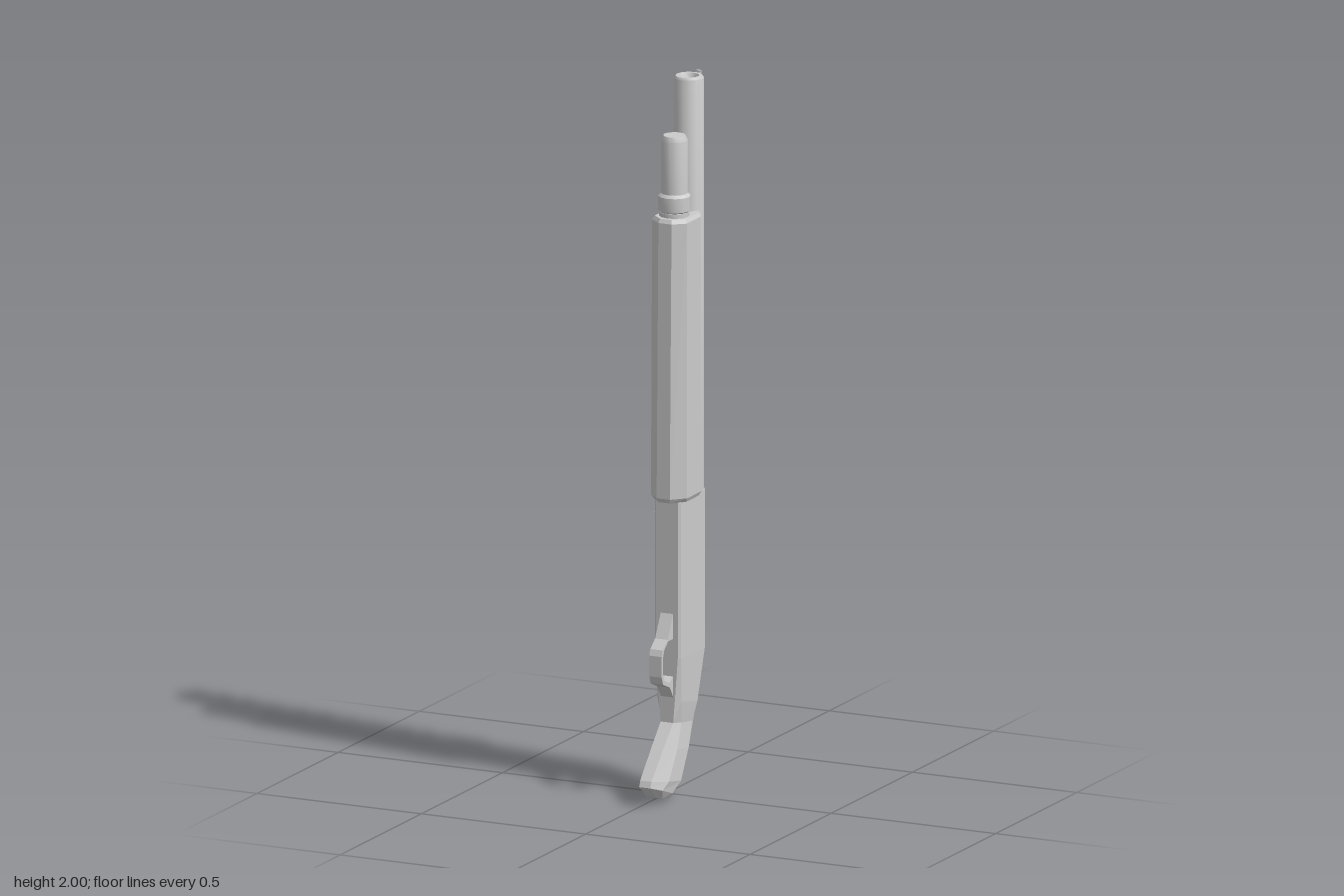
import * as THREE from 'three';
import { toCreasedNormals } from 'three/addons/utils/BufferGeometryUtils.js';

const CX = 0.015; // centre plane of the body
const flat = new THREE.MeshStandardMaterial({ color: 0xcccccc, flatShading: true });
const smooth = new THREE.MeshStandardMaterial({ color: 0xcccccc });

function add(group, name, geometry, material = flat) {
  const mesh = new THREE.Mesh(geometry, material);
  mesh.name = name;
  group.add(mesh);
  return mesh;
}

// Skin over equal rings of [x, y, z], listed bottom to top, closed at both ends
function loft(rings) {
  const n = rings[0].length, last = (rings.length - 1) * n, index = [];
  for (let i = 0; i < last; i += n) {
    for (let j = 0; j < n; j++) {
      const a = i + j, b = i + (j + 1) % n;
      index.push(a, b, b + n, a, b + n, a + n);
    }
  }
  for (let j = 1; j < n - 1; j++) {
    index.push(0, j + 1, j, last, last + j, last + j + 1);
  }
  const g = new THREE.BufferGeometry();
  g.setAttribute('position', new THREE.Float32BufferAttribute(rings.flat(2), 3));
  g.setIndex(index);
  return toCreasedNormals(g, 0.1);
}

// Eight-sided ring between a front and a back point (z, y), mirrored in x
function ring([fz, fy], [bz, by], wf, w, wb, t1, t2) {
  const half = [[wf, 0], [w, t1], [w, t2], [wb, 1]];
  const at = (x, t) => [CX + x, fy + (by - fy) * t, fz + (bz - fz) * t];
  return [...half.map(([x, t]) => at(x, t)), ...half.slice().reverse().map(([x, t]) => at(-x, t))];
}

// Twelve-sided turned part around a vertical axis at depth z
function turned(group, name, z, profile) {
  const g = new THREE.LatheGeometry(profile.map(([r, y]) => new THREE.Vector2(r, y)), 12);
  add(group, name, toCreasedNormals(g, 0.6), smooth).position.set(CX, 0, z);
}

// Plate cut from a 2D outline, centred on its thickness
function plate(shape, depth) {
  return new THREE.ExtrudeGeometry(shape, { depth, bevelEnabled: false }).translate(0, 0, -depth / 2);
}
const outline = (pts) => pts.map(([x, y]) => new THREE.Vector2(x, y));

export function createModel() {
  const model = new THREE.Group();
  model.name = 'model';

  // Body running down into the curved grip
  add(model, 'receiverAndGrip', loft([
    ring([0.125, 0.018], [0.05, 0.0], 0.014, 0.022, 0.014, 0.3, 0.75),
    ring([0.167, 0.055], [0.03, 0.008], 0.017, 0.034, 0.018, 0.3, 0.75),
    ring([0.16, 0.072], [-0.015, 0.04], 0.017, 0.04, 0.02, 0.35, 0.78),
    ring([0.095, 0.142], [-0.063, 0.125], 0.018, 0.036, 0.02, 0.35, 0.8),
    ring([0.03, 0.208], [-0.092, 0.19], 0.019, 0.029, 0.02, 0.25, 0.8),
    ring([0.03, 0.27], [-0.11, 0.24], 0.024, 0.036, 0.02, 0.12, 0.82),
    ring([0.03, 0.39], [-0.148, 0.39], 0.033, 0.04, 0.022, 0.04, 0.86),
    ring([0.03, 0.835], [-0.148, 0.835], 0.033, 0.04, 0.022, 0.04, 0.86),
  ]));

  // Sliding grip around the lower tube, bevelled at both ends
  add(model, 'slideGrip', loft([
    ring([0.047, 0.83], [-0.095, 0.83], 0.017, 0.049, 0.036, 0.25, 0.82),
    ring([0.053, 0.842], [-0.098, 0.842], 0.02, 0.055, 0.04, 0.24, 0.82),
    ring([0.042, 1.615], [-0.098, 1.615], 0.02, 0.053, 0.04, 0.2, 0.82),
    ring([0.036, 1.626], [-0.094, 1.626], 0.017, 0.047, 0.036, 0.2, 0.82),
  ]));

  // Hollow upper tube and capped lower tube
  turned(model, 'upperTube', -0.106, [
    [0.041, 0.82], [0.041, 1.994], [0.037, 2], [0.028, 2], [0.021, 1.985], [0.021, 1.85], [0, 1.85],
  ]);
  turned(model, 'lowerTube', -0.016, [
    [0.037, 1.6], [0.037, 1.838], [0.031, 1.852], [0, 1.852],
  ]);
  turned(model, 'collar', -0.016, [
    [0.037, 1.635], [0.045, 1.642], [0.045, 1.682], [0.037, 1.69],
  ]);
  turned(model, 'collarBase', -0.016, [[0.042, 1.62], [0.042, 1.638], [0.037, 1.642]]);

  // Raised rib: thin strip on evenly spaced posts with a solid ramp
  const rib = new THREE.Group();
  rib.name = 'rib';
  model.add(rib);
  add(rib, 'ribStrip', new THREE.BoxGeometry(0.013, 1.05, 0.007)).position.set(CX, 1.475, -0.1665);
  for (let i = 0; i < 11; i++) {
    add(rib, 'ribPost', new THREE.BoxGeometry(0.015, 0.012, 0.022))
      .position.set(CX, 0.962 + i * 0.1026, -0.155);
  }
  const ramp = new THREE.Shape(outline([
    [0.14, 0.83], [0.149, 0.83], [0.17, 0.872], [0.17, 0.96], [0.14, 0.96],
  ]));
  const rampMesh = add(rib, 'ribRamp', plate(ramp, 0.016));
  rampMesh.rotation.y = Math.PI / 2;
  rampMesh.position.x = CX;

  // Loop guard below the body (outline x is depth, turned to face the side)
  const guard = new THREE.Shape(outline([
    [-0.02, 0.52], [-0.03, 0.515], [-0.064, 0.45], [-0.094, 0.427], [-0.101, 0.41],
    [-0.101, 0.352], [-0.092, 0.33], [-0.05, 0.312], [-0.03, 0.28], [-0.02, 0.28],
  ]));
  guard.holes.push(new THREE.Path(outline([
    [-0.028, 0.445], [-0.06, 0.445], [-0.085, 0.425], [-0.092, 0.405],
    [-0.092, 0.36], [-0.082, 0.339], [-0.055, 0.326], [-0.028, 0.34],
  ])));
  const guardMesh = add(model, 'loopGuard', plate(guard, 0.038));
  guardMesh.rotation.y = Math.PI / 2;
  guardMesh.position.x = CX;

  // Small hooked handle on the side
  const handle = new THREE.Shape(outline([
    [-0.02, 0.762], [-0.045, 0.759], [-0.06, 0.764], [-0.072, 0.769],
    [-0.07, 0.758], [-0.056, 0.75], [-0.04, 0.748], [-0.02, 0.752],
  ]));
  add(model, 'sideHandle', plate(handle, 0.022)).position.z = -0.078;

  return model;
}
